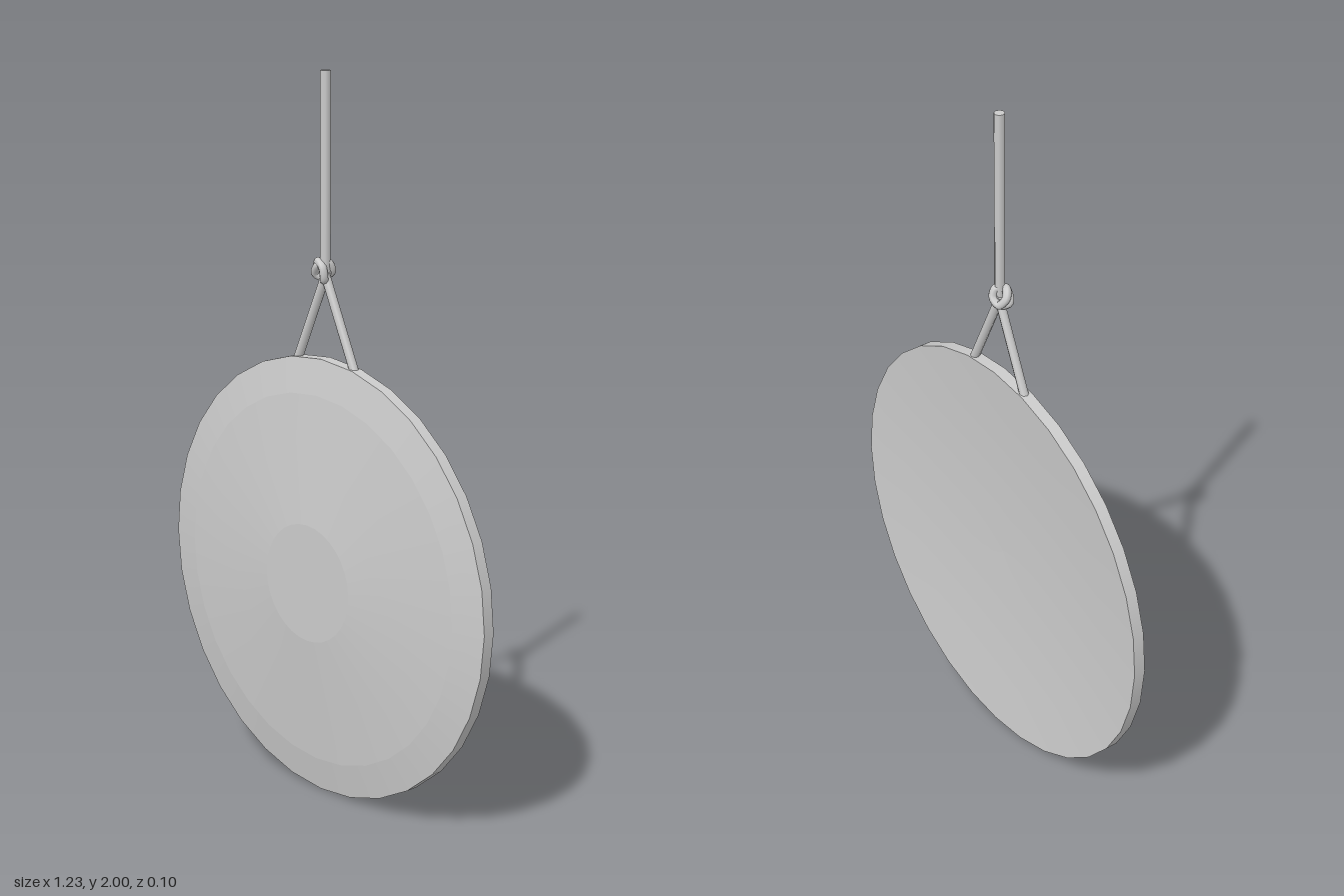
import * as THREE from 'three';
import { mergeGeometries } from 'three/addons/utils/BufferGeometryUtils.js';

const material = new THREE.MeshStandardMaterial({ color: 0xcccccc });
const v = (x, y, z) => new THREE.Vector3(x, y, z);

function addMesh(parent, name, geometry) {
  const mesh = new THREE.Mesh(geometry, material);
  mesh.name = name;
  parent.add(mesh);
  return mesh;
}

// Straight piece of cord between two points
function cord(a, b, radius) {
  const dir = b.clone().sub(a);
  const geometry = new THREE.CylinderGeometry(radius, radius, dir.length(), 8);
  geometry.applyQuaternion(new THREE.Quaternion().setFromUnitVectors(v(0, 1, 0), dir.normalize()));
  const mid = a.clone().add(b).multiplyScalar(0.5);
  return geometry.translate(mid.x, mid.y, mid.z);
}

export function createModel() {
  const model = new THREE.Group();
  model.name = 'hangingGong';
  const R = 0.617, backZ = -0.038;

  // Disc: bands of [radius, z], each smooth in itself with a crease between bands
  const dish = [0, 0.25, 0.5, 0.75, 1].map(t => [R * t, backZ + 0.028 * (1 - t * t)]);
  const bands = [
    dish,
    [[R, backZ], [R, -0.004]],
    [[R, -0.004], [0.52, 0.014]],
    [[0.52, 0.014], [0.165, 0.048]],
    [[0.165, 0.048], [0, 0.048]],
  ].map(band => new THREE.LatheGeometry(band.map(p => new THREE.Vector2(...p)), 32));
  const disc = addMesh(model, 'disc', mergeGeometries(bands).rotateX(Math.PI / 2));
  disc.position.y = R + 0.003;

  // Hanging cord and the two legs that hold the rim
  const z = -0.022;
  addMesh(model, 'hangingCord', cord(v(0, 1.45, z + 0.002), v(0, 2, z + 0.002), 0.014));
  addMesh(model, 'leftLeg', cord(v(0.113, 1.215, z), v(-0.008, 1.475, z), 0.0125));
  addMesh(model, 'rightLeg', cord(v(-0.113, 1.215, z), v(0.005, 1.475, z), 0.0125));

  // Knot wound around the cord where the legs meet
  const knotPath = new THREE.CatmullRomCurve3([
    v(0.006, 1.452, -0.010), v(0.004, 1.485, -0.006), v(-0.020, 1.498, -0.012),
    v(-0.033, 1.478, -0.024), v(-0.018, 1.457, -0.036), v(0.004, 1.472, -0.039),
    v(0.004, 1.495, -0.028), v(-0.014, 1.490, -0.008), v(-0.032, 1.462, -0.014),
    v(-0.016, 1.452, -0.026),
  ], true);
  addMesh(model, 'knot', new THREE.TubeGeometry(knotPath, 60, 0.0115, 8, true));

  return model;
}
